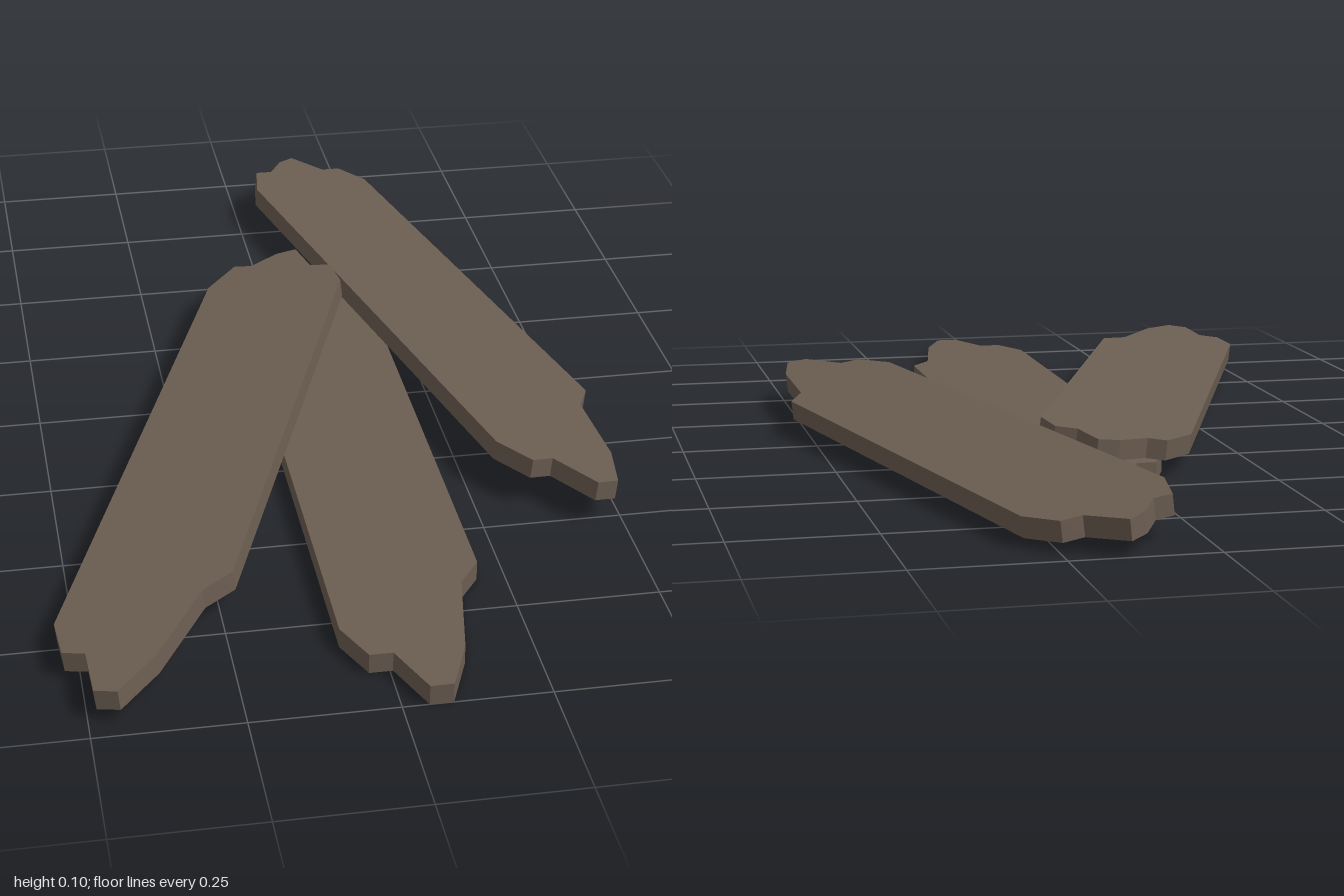
import * as THREE from 'three';

const THICKNESS = 0.036;

// Splintered board outline as [x, z], relative to the board's middle
const OUTLINE = [
  // front end
  [-0.135, 0.59], [-0.1, 0.67], [-0.06, 0.67], [-0.02, 0.77], [0.02, 0.77],
  [0.06, 0.67], [0.095, 0.485], [0.135, 0.43],
  // back end
  [0.135, -0.63], [0.1, -0.7], [0.06, -0.698], [0.015, -0.772], [-0.022, -0.752],
  [-0.065, -0.698], [-0.1, -0.697], [-0.135, -0.603],
];

// Middle of the top face, turn about y in degrees, and rise along x and z
const PLANKS = [
  { name: 'groundPlank', at: [0.065, THICKNESS, 0.23], turn: 0, slope: [0, 0] },
  { name: 'leftLeaningPlank', at: [0.304, 0.0713, -0.24], turn: 12.5, slope: [-0.116, 0.038] },
  { name: 'rightLeaningPlank', at: [-0.205, 0.07, 0.233], turn: -20.2, slope: [0.111, 0.0216] },
];

function plankGeometry() {
  const shape = new THREE.Shape(OUTLINE.map(([x, z]) => new THREE.Vector2(x, -z)));
  const geometry = new THREE.ExtrudeGeometry(shape, { depth: THICKNESS, bevelEnabled: false });
  // Lay flat with the top face at y = 0
  return geometry.rotateX(-Math.PI / 2).translate(0, -THICKNESS, 0);
}

export function createModel() {
  const model = new THREE.Group();
  model.name = 'plankPile';
  const wood = new THREE.MeshStandardMaterial({ color: 0x6b5d51 });
  wood.name = 'weatheredWood';
  const geometry = plankGeometry();
  const up = new THREE.Vector3(0, 1, 0);

  for (const { name, at, turn, slope } of PLANKS) {
    const plank = new THREE.Mesh(geometry, wood);
    plank.name = name;
    plank.position.set(...at);
    // Turn on the ground first, then tilt to the slope
    const normal = new THREE.Vector3(-slope[0], 1, -slope[1]).normalize();
    const yaw = new THREE.Quaternion().setFromAxisAngle(up, THREE.MathUtils.degToRad(turn));
    plank.quaternion.setFromUnitVectors(up, normal).multiply(yaw);
    model.add(plank);
  }
  return model;
}
